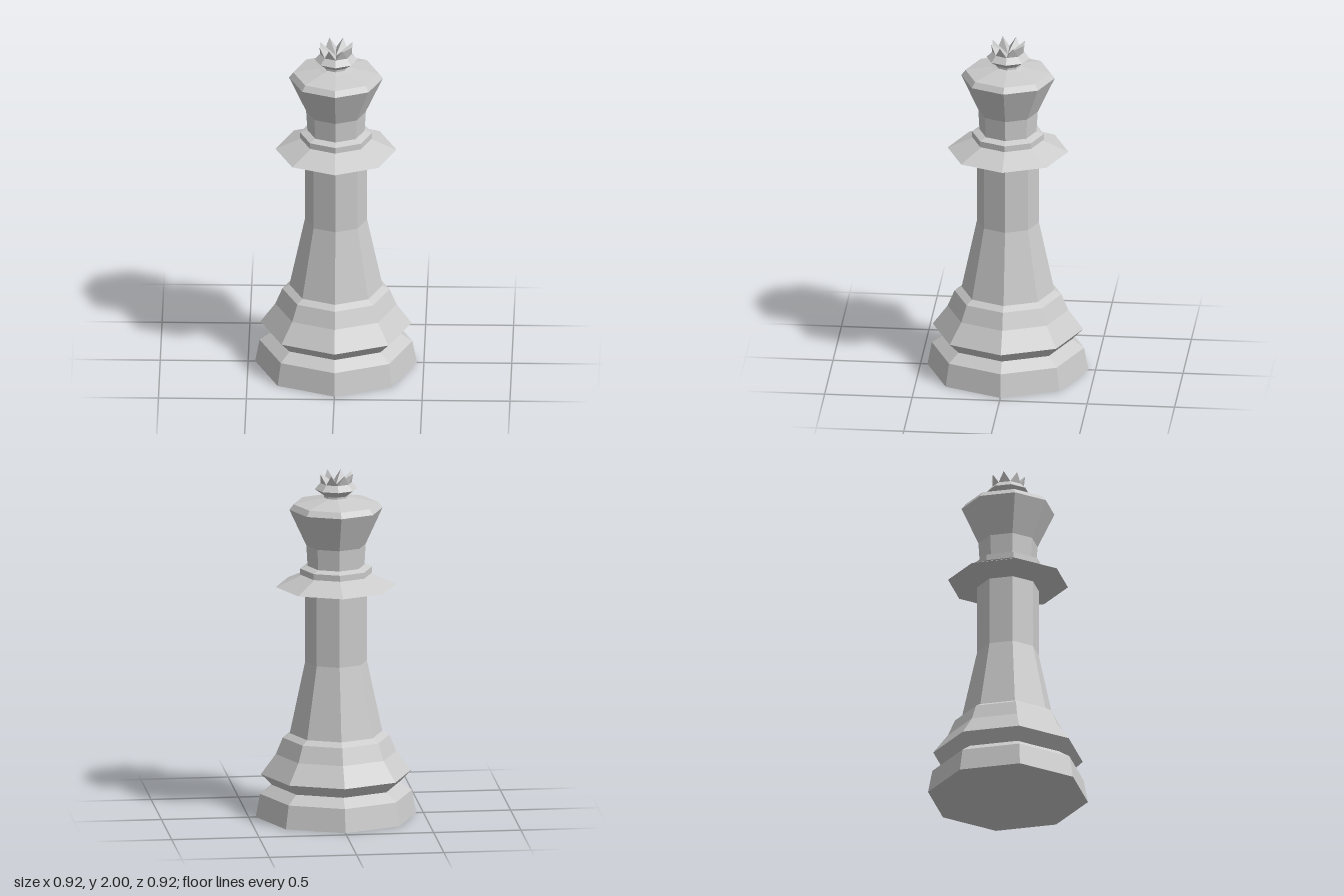
import * as THREE from 'three';

const SIDES = 8;
const material = new THREE.MeshStandardMaterial({ color: 0xcccccc, flatShading: true });

// Faceted turned part from a [radius, height] profile, bottom to top
function turned(name, profile) {
  const points = profile.map(([r, y]) => new THREE.Vector2(r, y));
  const mesh = new THREE.Mesh(new THREE.LatheGeometry(points, SIDES), material);
  mesh.name = name;
  return mesh;
}

// Ring of outward-leaning spikes around a sunken centre
function spikedCrown(valleyR, valleyY, peakR, peakY, centreY) {
  const at = (r, y, step) => {
    const a = (step * Math.PI) / SIDES;
    return [r * Math.sin(a), y, r * Math.cos(a)];
  };
  const centre = [0, centreY, 0];
  const positions = [];
  for (let i = 0; i < SIDES; i++) {
    const v0 = at(valleyR, valleyY, 2 * i);
    const peak = at(peakR, peakY, 2 * i + 1);
    const v1 = at(valleyR, valleyY, 2 * i + 2);
    positions.push(...v0, ...v1, ...peak); // outer face
    positions.push(...v0, ...peak, ...centre, ...peak, ...v1, ...centre); // inner faces
  }
  const geometry = new THREE.BufferGeometry();
  geometry.setAttribute('position', new THREE.Float32BufferAttribute(positions, 3));
  geometry.computeVertexNormals();
  const mesh = new THREE.Mesh(geometry, material);
  mesh.name = 'crownSpikes';
  return mesh;
}

export function createModel() {
  const group = new THREE.Group();
  group.name = 'chessQueen';
  group.add(
    // Foot with a notch above it
    turned('base', [[0, 0], [0.46, 0], [0.435, 0.135], [0.365, 0.185]]),
    // Flared moulding stepping in to the stem
    turned('skirt', [[0.365, 0.185], [0.43, 0.25], [0.345, 0.365], [0.305, 0.46], [0.265, 0.485]]),
    turned('stem', [[0.265, 0.485], [0.177, 0.9], [0.177, 1.305]]),
    // Wide disc and the narrow band on top of it
    turned('collar', [[0.177, 1.305], [0.345, 1.34], [0.19, 1.41], [0.205, 1.41], [0.205, 1.445], [0.163, 1.46]]),
    turned('head', [[0.163, 1.46], [0.17, 1.58], [0.267, 1.79], [0.243, 1.822], [0.1, 1.85], [0.07, 1.858]]),
    turned('crownBead', [[0.07, 1.858], [0.07, 1.87], [0.122, 1.908], [0.09, 1.942]]),
    spikedCrown(0.09, 1.942, 0.101, 2, 1.93)
  );
  return group;
}
